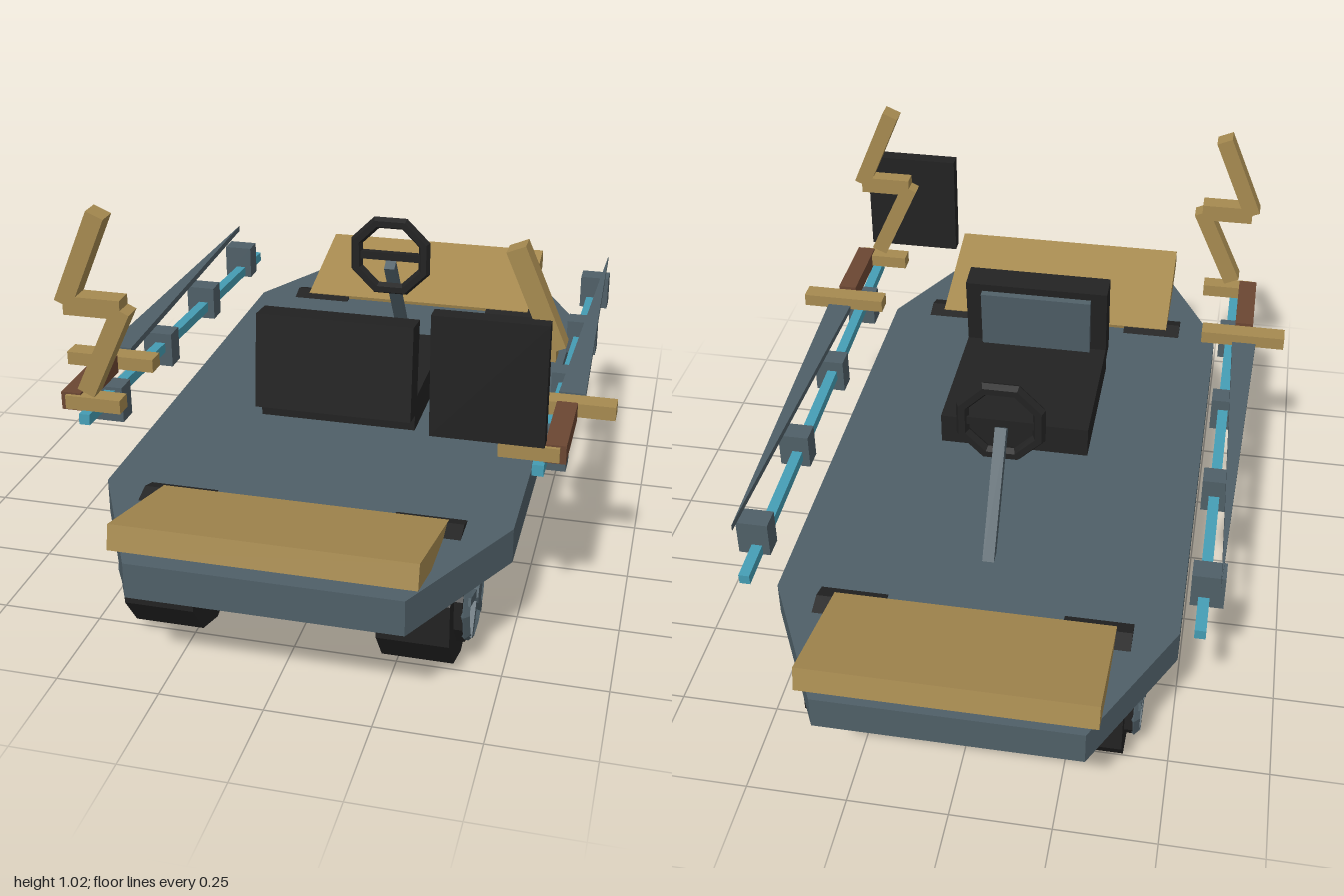
import * as THREE from 'three';

const mat = (name, color) => {
  const m = new THREE.MeshStandardMaterial({ color });
  m.name = name;
  return m;
};

export function createModel() {
  const slate = mat('slate', 0x4f5f67);
  const tan = mat('tan', 0xa68a50);
  const black = mat('black', 0x222222);
  const cyan = mat('cyan', 0x459db4);
  const brown = mat('brown', 0x6b4632);
  const steel = mat('steel', 0xa6adae);

  const model = new THREE.Group();
  model.name = 'cart';

  // Adds a facetted mesh
  const add = (parent, name, geo, material, x = 0, y = 0, z = 0) => {
    const g = geo.index ? geo.toNonIndexed() : geo;
    g.computeVertexNormals();
    const mesh = new THREE.Mesh(g, material);
    mesh.name = name;
    mesh.position.set(x, y, z);
    parent.add(mesh);
    return mesh;
  };
  const box = (parent, name, material, w, h, d, x, y, z) =>
    add(parent, name, new THREE.BoxGeometry(w, h, d), material, x, y, z);

  // Square bar between two points
  const bar = (parent, name, material, a, b, w, d = w) => {
    const from = new THREE.Vector3(...a), to = new THREE.Vector3(...b);
    const dir = to.clone().sub(from);
    const mesh = box(parent, name, material, w, dir.length(), d, 0, 0, 0);
    mesh.position.copy(from).add(to).multiplyScalar(0.5);
    mesh.quaternion.setFromUnitVectors(new THREE.Vector3(0, 1, 0), dir.normalize());
    return mesh;
  };

  // Horizontal plate from an outline of [x, z] points
  const plate = (points, thickness) => {
    const shape = new THREE.Shape(points.map(([x, z]) => new THREE.Vector2(x, -z)));
    return new THREE.ExtrudeGeometry(shape, { depth: thickness, bevelEnabled: false }).rotateX(-Math.PI / 2);
  };

  // Deck with clipped corners
  add(model, 'deck', plate([
    [0.5, 0.64], [0.32, 0.99], [-0.32, 0.99], [-0.5, 0.64],
    [-0.5, -0.64], [-0.32, -0.99], [0.32, -0.99], [0.5, -0.64],
  ], 0.088), slate, 0, 0.242, 0);

  // Tilted planks at both ends
  for (const s of [1, -1]) {
    const plank = box(model, s > 0 ? 'frontPlank' : 'rearPlank', tan, 0.7, 0.06, 0.346, 0, 0.353, 0.825 * s);
    plank.rotation.x = -0.245 * s;
  }

  // Wheels: tyre, rim ring, five spokes and hub, facing outward along x
  const R = 0.1725;
  const disc = (r, w, n) => new THREE.CylinderGeometry(r, r, w, n, 1, false, Math.PI / 2).rotateZ(Math.PI / 2);
  for (const sx of [1, -1]) for (const z of [0.672, -0.672]) {
    const wheel = new THREE.Group();
    wheel.name = (z > 0 ? 'front' : 'rear') + (sx > 0 ? 'LeftWheel' : 'RightWheel');
    wheel.position.set(sx * 0.305, R, z);
    model.add(wheel);
    add(wheel, 'tyre', disc(R, 0.17, 10), black);
    add(wheel, 'rimWell', disc(0.12, 0.04, 10), black, sx * 0.085);
    add(wheel, 'rimRing', new THREE.TorusGeometry(0.108, 0.013, 4, 10).rotateY(Math.PI / 2), slate, sx * 0.108);
    add(wheel, 'hub', disc(0.028, 0.03, 8), slate, sx * 0.112);
    for (let i = 0; i < 5; i++) {
      const a = Math.PI / 2 + (i * Math.PI * 2) / 5;
      bar(wheel, 'spoke', slate, [sx * 0.112, 0, 0],
        [sx * 0.112, Math.sin(a) * 0.108, Math.cos(a) * 0.108], 0.02);
    }
  }

  // Seat with a leaning backrest and pad
  box(model, 'seatBase', black, 0.4, 0.085, 0.41, 0, 0.438, 0.125);
  const back = new THREE.Group();
  back.name = 'seatBack';
  back.position.set(0, 0.56, 0.333);
  back.rotation.x = -0.105;
  model.add(back);
  box(back, 'backrest', black, 0.4, 0.245, 0.075, 0, 0, 0);
  box(back, 'backPad', slate, 0.31, 0.2, 0.02, 0, 0, -0.046);

  // Steering wheel and column
  add(model, 'steeringWheel', new THREE.TorusGeometry(0.106, 0.018, 6, 8).rotateZ(Math.PI / 8), black, 0, 0.63, -0.272);
  box(model, 'steeringCrossbar', black, 0.2, 0.022, 0.02, 0, 0.63, -0.272);
  bar(model, 'steeringColumn', slate, [0, 0.605, -0.265], [0, 0.315, -0.46], 0.03);

  // Side assemblies, mirrored
  for (const s of [1, -1]) {
    const side = new THREE.Group();
    side.name = s > 0 ? 'leftSide' : 'rightSide';
    model.add(side);

    // Lift disc under the deck
    add(side, 'liftDisc', new THREE.CylinderGeometry(0.135, 0.135, 0.065, 12), steel, s * 0.335, 0.193, 0.415);

    // Rail with clamps
    bar(side, 'rail', cyan, [s * 0.548, 0.49, 0.643], [s * 0.548, 0.42, -0.725], 0.027);
    for (const z of [0.457, 0.108, -0.24, -0.592])
      box(side, 'clamp', slate, 0.08, 0.094, 0.056, s * 0.556, 0.457, z);

    // Tapered blade
    const blade = [[s * 0.62, 0.32], [s * 0.555, 0.32], [s * 0.585, -0.67]];
    add(side, 'blade', plate(blade, 0.017), slate, 0, 0.522, 0);

    // Hilt: guard, grip and zigzag
    box(side, 'guard', tan, 0.232, 0.035, 0.05, s * 0.583, 0.529, 0.37);
    box(side, 'grip', brown, 0.05, 0.046, 0.23, s * 0.584, 0.529, 0.515);
    box(side, 'zigzagFoot', tan, 0.14, 0.035, 0.045, s * 0.525, 0.53, 0.617);
    bar(side, 'zigzagLower', tan, [s * 0.535, 0.565, 0.625], [s * 0.433, 0.785, 0.625], 0.045, 0.05);
    box(side, 'zigzagMiddle', tan, 0.142, 0.047, 0.05, s * 0.505, 0.787, 0.625);
    bar(side, 'zigzagUpper', tan, [s * 0.576, 0.79, 0.625], [s * 0.48, 1.015, 0.625], 0.045, 0.05);
  }

  // Plain board on the left
  box(model, 'board', black, 0.26, 0.292, 0.04, 0.435, 0.714, 0.662);

  return model;
}
